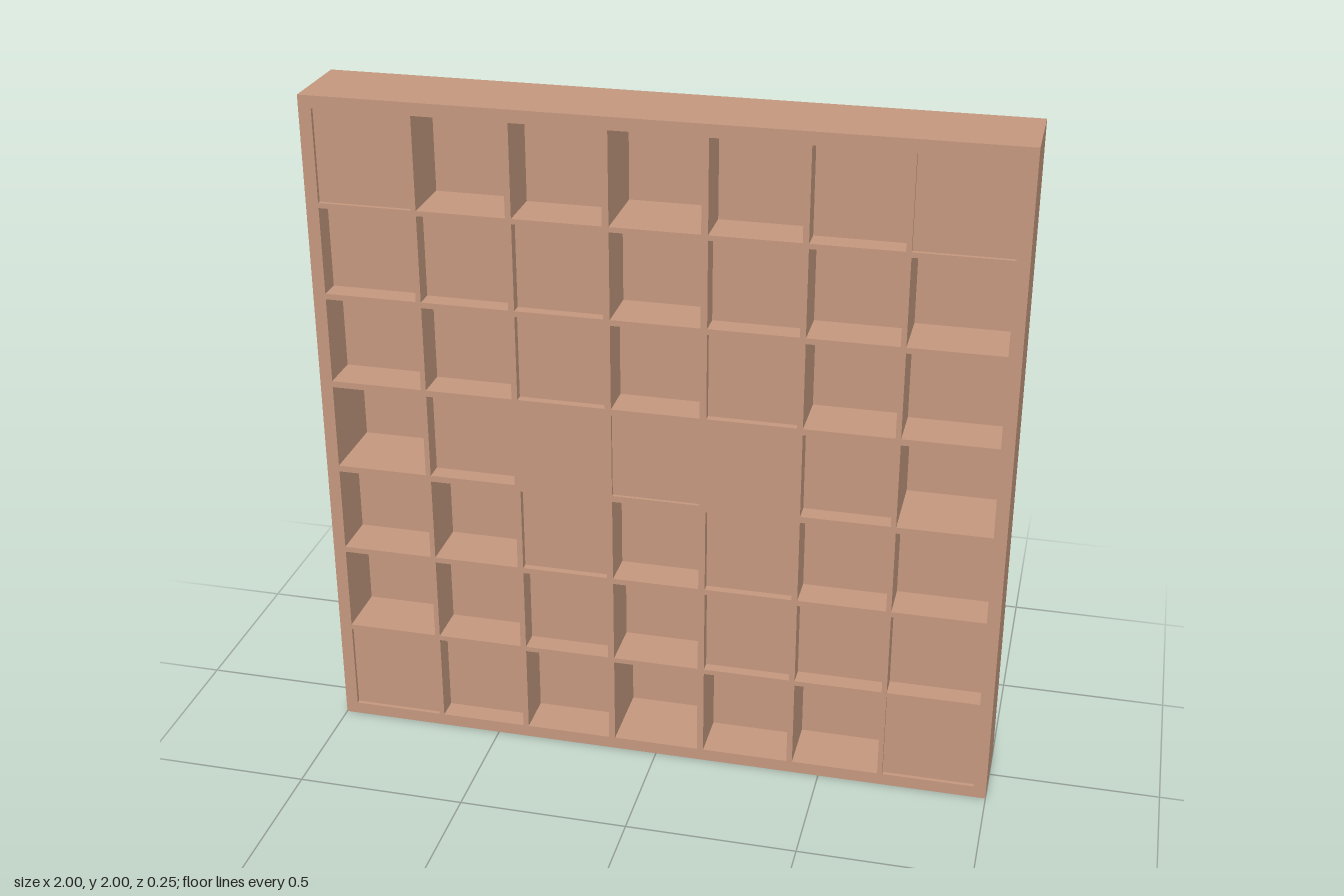
import * as THREE from 'three';

const HALF_DEPTH = 0.125;

// Box without its front face; inward = true turns it into a recess seen from inside
function openBox(w, h, d, inward) {
  const g = new THREE.BoxGeometry(w, h, d);
  const kept = [...g.index.array].filter((_, i) => i < 24 || i >= 30);
  g.setIndex(inward ? kept.reverse() : kept);
  g.clearGroups();
  if (inward) {
    const n = g.attributes.normal;
    for (let i = 0; i < n.count; i++) n.setXYZ(i, -n.getX(i), -n.getY(i), -n.getZ(i));
  }
  return g;
}

export function createModel() {
  const group = new THREE.Group();
  const wood = new THREE.MeshStandardMaterial({ color: 0xc4987e });
  wood.name = 'warm wood';

  const add = (name, geometry, x, y, z) => {
    const mesh = new THREE.Mesh(geometry, wood);
    mesh.name = name;
    mesh.position.set(x, y, z);
    group.add(mesh);
  };

  // Cell limits along either axis, measured from the panel centre
  const cells = [
    [-0.963, -0.692], [-0.677, -0.42], [-0.403, -0.147], [-0.128, 0.128],
    [0.147, 0.403], [0.42, 0.677], [0.692, 0.963],
  ];

  // Well depths, top row first; the lower rows repeat them turned by half a turn
  const upper = [
    [0.012, 0.174, 0.15, 0.228, 0.13, 0.065, 0.012],
    [0.065, 0.055, 0.033, 0.152, 0.065, 0.13, 0.174],
    [0.122, 0.1, 0.025, 0.109, 0.022, 0.165, 0.145],
  ];
  const middle = [0.232, 0.055, 0, 0.01, 0, 0.055, 0.232];
  const lower = upper.map((row) => [...row].reverse()).reverse();
  const depths = [...upper, middle, ...lower];

  // Outer sides and back
  add('casing', openBox(2, 2, 2 * HALF_DEPTH, false), 0, 1, 0);

  // Front lattice with an opening for every well
  const face = new THREE.Shape();
  face.moveTo(-1, -1).lineTo(1, -1).lineTo(1, 1).lineTo(-1, 1).closePath();

  depths.forEach((row, r) => row.forEach((depth, c) => {
    if (depth === 0) return; // flush cell
    const [x0, x1] = cells[c];
    const [y0, y1] = cells[6 - r];
    const hole = new THREE.Path();
    hole.moveTo(x0, y0).lineTo(x0, y1).lineTo(x1, y1).lineTo(x1, y0).closePath();
    face.holes.push(hole);
    add(`well row ${r + 1} column ${c + 1}`, openBox(x1 - x0, y1 - y0, depth, true),
      (x0 + x1) / 2, 1 + (y0 + y1) / 2, HALF_DEPTH - depth / 2);
  }));

  add('frontLattice', new THREE.ShapeGeometry(face), 0, 1, HALF_DEPTH);
  return group;
}
